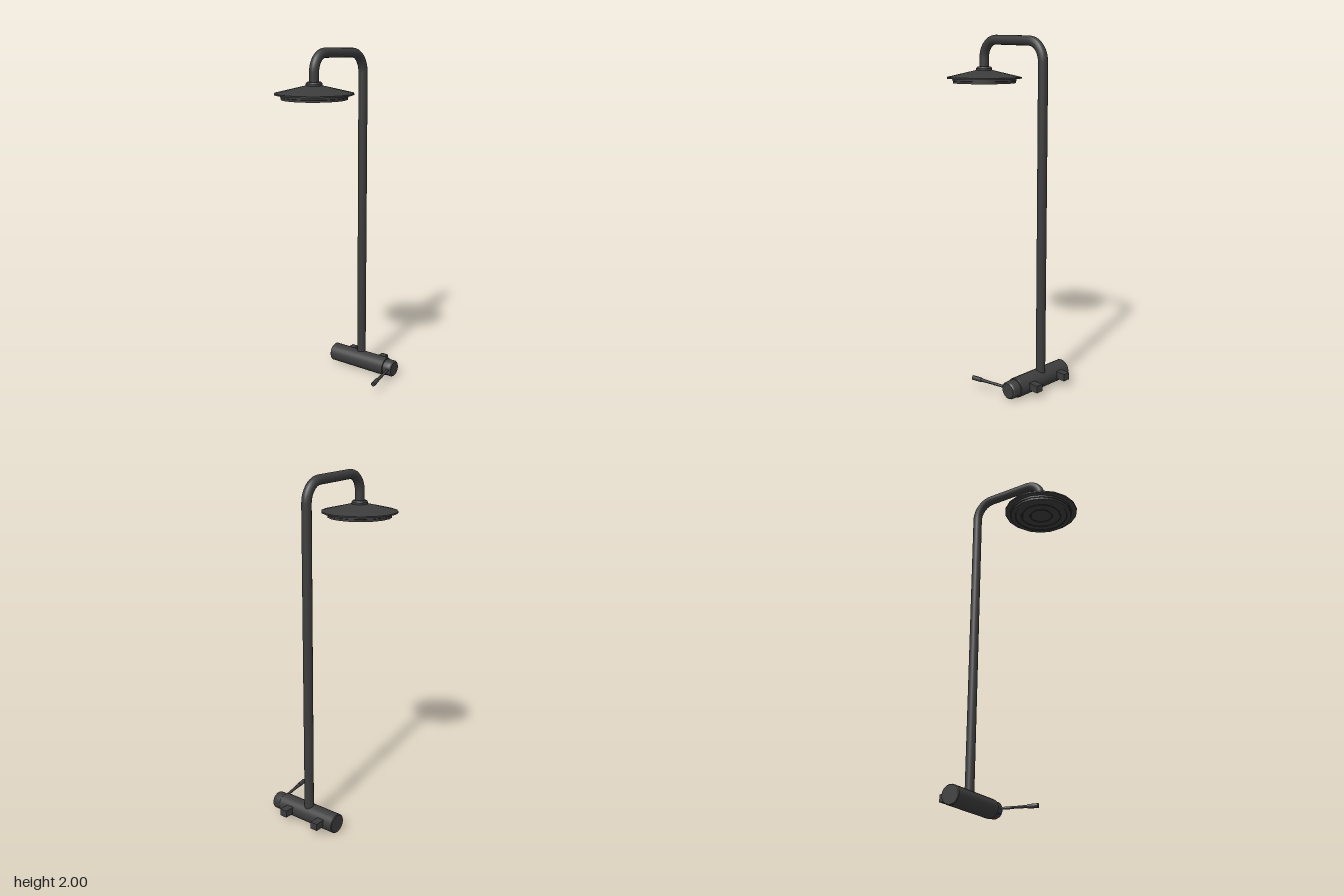
import * as THREE from 'three';
import { toCreasedNormals } from 'three/addons/utils/BufferGeometryUtils.js';

const V = (x, y, z = 0) => new THREE.Vector3(x, y, z);
const material = (color) => new THREE.MeshStandardMaterial({ color });
const dark = material(0x3c3c3c);

function add(parent, name, geometry, mat = dark) {
  const mesh = new THREE.Mesh(geometry, mat);
  mesh.name = name;
  parent.add(mesh);
  return mesh;
}

// Closed turned shape: profile runs from the bottom centre outward, then up
function turned(profile, sides, start = 0) {
  const points = profile.map(([r, y]) => new THREE.Vector2(r, y));
  return toCreasedNormals(new THREE.LatheGeometry(points, sides, start), 0.5);
}

// Rounded corner between two straight pipe runs
function bend(from, corner, to) {
  return new THREE.CubicBezierCurve3(
    from, from.clone().lerp(corner, 0.56), to.clone().lerp(corner, 0.56), to);
}

export function createModel() {
  const model = new THREE.Group();
  model.name = 'shower';
  const pipeZ = -0.037, headX = -0.171;

  // Riser pipe and overhead arm in one sweep
  const a = V(0.291, 0.08), b = V(0.285, 1.85), c = V(0.18, 1.966);
  const d = V(-0.075, 1.973), e = V(headX, 1.87), f = V(headX, 1.8);
  const path = new THREE.CurvePath();
  path.add(new THREE.LineCurve3(a, b));
  path.add(bend(b, V(0.285, 1.964), c));
  path.add(new THREE.LineCurve3(c, d));
  path.add(bend(d, V(headX, 1.975), e));
  path.add(new THREE.LineCurve3(e, f));
  add(model, 'riserPipe', new THREE.TubeGeometry(path, 160, 0.027, 16)).position.z = pipeZ;

  // Shower head with stepped rings below and a shallow cone above
  const head = new THREE.Group();
  head.name = 'showerHead';
  head.position.set(headX, 0, pipeZ);
  model.add(head);
  add(head, 'sprayPlate', turned([
    [0, 1.734], [0.06, 1.734], [0.062, 1.738], [0.068, 1.738], [0.07, 1.734],
    [0.112, 1.734], [0.114, 1.738], [0.12, 1.738], [0.122, 1.734],
    [0.155, 1.734], [0.158, 1.73], [0.182, 1.73], [0.182, 1.742],
    [0.186, 1.744], [0.186, 1.755], [0.217, 1.756], [0.217, 1.764],
    [0.05, 1.803], [0, 1.803]], 18, Math.PI / 2));
  add(head, 'headCollar', turned([
    [0, 1.797], [0.046, 1.797], [0.046, 1.814], [0.038, 1.823], [0, 1.823]], 24));

  // Valve body, lying along z
  const valve = new THREE.Group();
  valve.name = 'valve';
  valve.position.set(0.28, 0.057, 0);
  model.add(valve);
  const along = (name, profile) => {
    add(valve, name, turned(profile, 32)).rotation.x = Math.PI / 2;
  };
  along('valveBody', [[0, -0.236], [0.052, -0.236], [0.056, -0.232],
    [0.056, 0.157], [0.054, 0.16], [0, 0.16]]);
  along('valveNeck', [[0, 0.155], [0.045, 0.155], [0.045, 0.17], [0, 0.17]]);
  along('controlCap', [[0, 0.164], [0.05, 0.164], [0.05, 0.209],
    [0.048, 0.214], [0.042, 0.219], [0, 0.219]]);

  // Wall inlets
  for (const z of [-0.153, 0.077]) {
    add(valve, 'wallInlet', new THREE.BoxGeometry(0.07, 0.042, 0.044))
      .position.set(0.075, 0.004, z);
  }

  // Hot and cold marks wrapped on the cap; angle measured from +x up to +y
  const mark = (name, degrees, color) => {
    const span = 0.15, angle = THREE.MathUtils.degToRad(degrees);
    const strip = new THREE.CylinderGeometry(0.0506, 0.0506, 0.034, 4, 1, true,
      Math.PI / 2 + angle - span / 2, span);
    strip.rotateX(-Math.PI / 2);
    // Mirror of the turning direction keeps the strip above the axis
    add(valve, name, strip, material(color)).position.z = 0.188;
  };
  mark('hotMark', 111, 0xb00000);
  mark('coldMark', 148, 0x000090);

  // Lever: thin stem, tapered grip, flat end
  const lever = new THREE.Group();
  lever.name = 'lever';
  lever.position.set(0.24, 0.062, 0.199);
  lever.rotation.set(0, 0.18, Math.PI / 2, 'YXZ');
  model.add(lever);
  add(lever, 'leverStem', turned([
    [0, -0.03], [0.0075, -0.03], [0.0085, 0.08], [0, 0.08]], 12));
  const grip = add(lever, 'leverGrip', turned([
    [0, 0.065], [0.0085, 0.065], [0.013, 0.215], [0.013, 0.226], [0, 0.226]], 12));
  grip.scale.x = 0.8;
  add(lever, 'leverTip', turned([
    [0, 0.165], [0.0125, 0.165], [0.0135, 0.226], [0, 0.226]], 12));
  return model;
}
